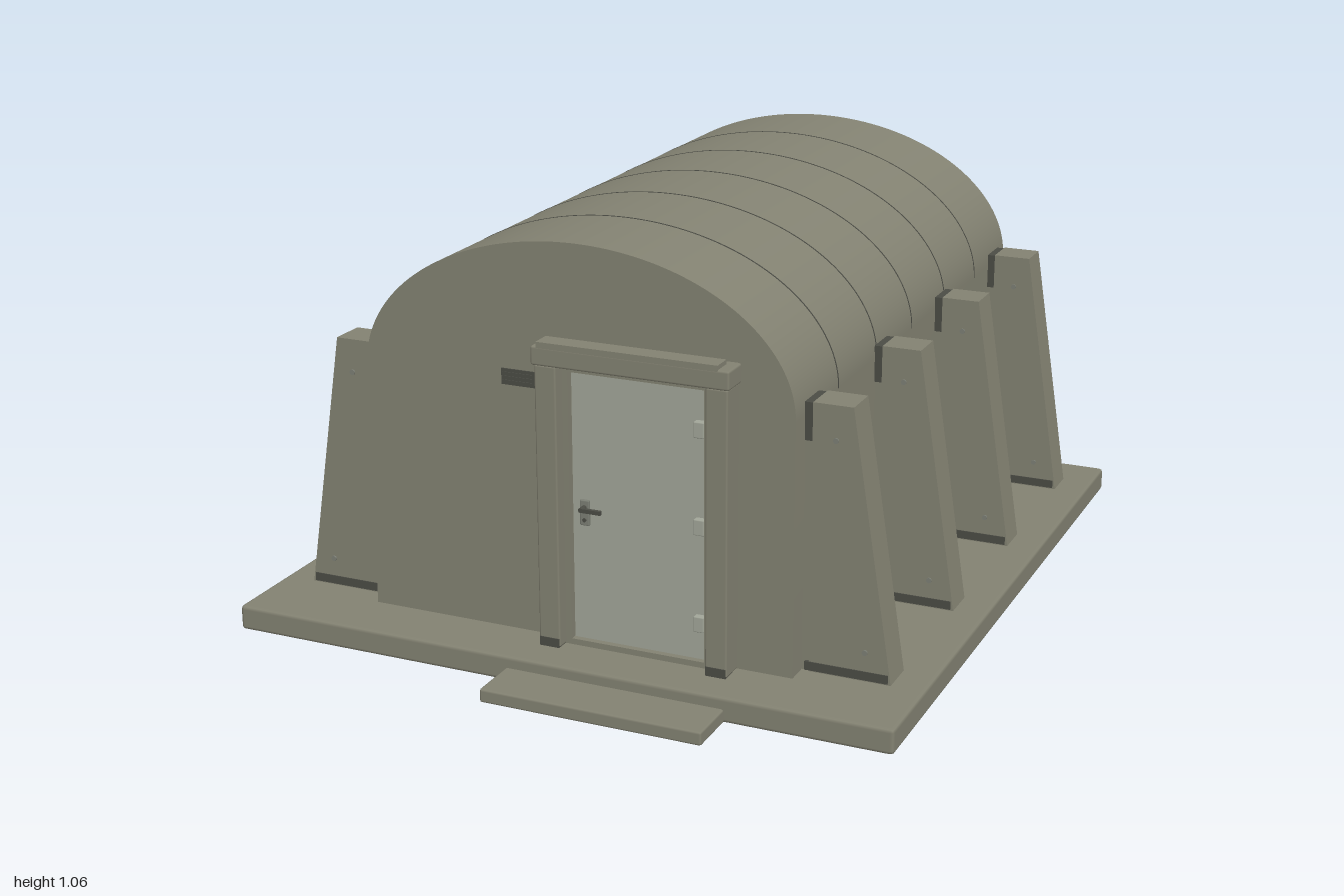
import * as THREE from 'three';
import { toCreasedNormals } from 'three/addons/utils/BufferGeometryUtils.js';
import { RoundedBoxGeometry } from 'three/addons/geometries/RoundedBoxGeometry.js';

const flat = (name, color) => Object.assign(new THREE.MeshStandardMaterial({ color }), { name });

export function createModel() {
  const concrete = flat('concrete', 0x838272);
  const paintedDoor = flat('paleDoor', 0xa2a699);
  const darkMetal = flat('darkMetal', 0x4b4c45);
  const hardware = flat('hardware', 0x7c7f75);
  const root = new THREE.Group();
  root.name = 'archedShelter';

  const add = (name, geo, mat, parent = root) => {
    const mesh = new THREE.Mesh(geo, mat);
    mesh.name = name;
    parent.add(mesh);
    return mesh;
  };
  // Box given by its limits; r chamfers the edges
  const box = (name, mat, x0, x1, y0, y1, z0, z1, parent = root, r = 0) => {
    const s = [x1 - x0, y1 - y0, z1 - z0];
    const geo = r ? new RoundedBoxGeometry(...s, 1, r) : new THREE.BoxGeometry(...s);
    const mesh = add(name, geo, mat, parent);
    mesh.position.set((x0 + x1) / 2, (y0 + y1) / 2, (z0 + z1) / 2);
    return mesh;
  };

  const ground = 0.065, back = -0.92, front = 0.71;
  const halfW = 0.563, spring = 0.70, rise = 0.36;

  // Slab and doorstep
  box('baseSlab', concrete, -0.87, 0.87, 0, ground, -1, 0.87, root, 0.01);
  box('doorStep', concrete, -0.115, 0.455, 0, 0.035, 0.85, 1, root, 0.006);

  // Vaulted hall
  const hall = new THREE.Shape();
  hall.moveTo(-halfW, ground - 0.01);
  hall.lineTo(halfW, ground - 0.01);
  hall.lineTo(halfW, spring);
  hall.absellipse(0, spring, halfW, rise, 0, Math.PI, false);
  hall.closePath();
  const hallGeo = new THREE.ExtrudeGeometry(hall, { depth: front - back, bevelEnabled: false, curveSegments: 48 });
  hallGeo.translate(0, 0, back);
  add('vaultedHall', toCreasedNormals(hallGeo, 0.5), concrete);

  // Fine roof joints
  const joint = new THREE.Shape();
  joint.absellipse(0, spring, halfW + 0.001, rise + 0.001, 0, Math.PI, false);
  joint.absellipse(0, spring, halfW - 0.004, rise - 0.004, Math.PI, 0, true);
  joint.closePath();
  for (let i = 0; i < 5; i++) {
    const geo = new THREE.ExtrudeGeometry(joint, { depth: 0.004, bevelEnabled: false, curveSegments: 48 });
    geo.translate(0, 0, 0.433 - i * 0.269);
    add('roofJoint', toCreasedNormals(geo, 0.5), darkMetal);
  }

  // Tapered buttresses, four on each side
  const profile = new THREE.Shape([
    [0.583, ground - 0.005], [0.788, ground - 0.005], [0.682, 0.735], [0.583, 0.735],
  ].map(([x, y]) => new THREE.Vector2(x, y)));
  const depth = 0.095;
  for (const side of [1, -1]) {
    for (let i = 0; i < 4; i++) {
      const g = new THREE.Group();
      g.name = 'buttress';
      g.position.z = 0.608 - i * 0.475;
      if (side < 0) { g.rotation.y = Math.PI; }
      root.add(g);
      const geo = new THREE.ExtrudeGeometry(profile, { depth, bevelEnabled: false });
      geo.translate(0, 0, -depth / 2);
      add('taperedBody', geo, concrete, g);
      box('wallWeb', concrete, 0.55, 0.59, ground, 0.73, -0.042, 0.042, g);
      box('topBracket', darkMetal, 0.562, 0.584, 0.64, 0.733, -0.045, 0.045, g);
      box('footPlate', darkMetal, 0.572, 0.78, 0.068, 0.09, -0.05, 0.05, g);
      for (const [x, y] of [[0.641, 0.65], [0.722, 0.138]]) {
        const bolt = add('bolt', new THREE.CylinderGeometry(0.007, 0.007, depth + 0.008, 10), hardware, g);
        bolt.rotation.x = Math.PI / 2;
        bolt.position.set(x, y, 0);
      }
    }
  }

  // Slatted vents
  const vent = (x0, x1, y0, y1, z) => {
    const g = new THREE.Group();
    g.name = 'vent';
    root.add(g);
    box('ventPlate', darkMetal, x0, x1, y0, y1, z - 0.003, z + 0.003, g);
    for (let i = 1; i < 4; i++) {
      const y = y0 + (y1 - y0) * i / 4;
      box('ventSlat', darkMetal, x0 + 0.004, x1 - 0.004, y - 0.002, y + 0.002, z - 0.005, z + 0.005, g);
    }
  };
  vent(-0.19, -0.1, 0.695, 0.735, front);
  for (const s of [-1, 1]) vent(s * 0.267 - 0.066, s * 0.267 + 0.066, 0.6, 0.64, back);

  // Door surround
  const frame = new THREE.Group();
  frame.name = 'doorSurround';
  root.add(frame);
  const mid = 0.176;
  for (const s of [-1, 1]) {
    const post = (name, mat, a, b, y0, y1, z1, r = 0) =>
      box(name, mat, mid + Math.min(s * a, s * b), mid + Math.max(s * a, s * b), y0, y1, 0.7, z1, frame, r);
    post('doorPost', concrete, 0.19, 0.246, ground, 0.777, 0.775, 0.005);
    post('postFoot', darkMetal, 0.192, 0.244, ground, 0.088, 0.777);
    post('doorJamb', concrete, 0.174, 0.191, ground, 0.775, 0.742);
  }
  box('doorHead', concrete, 0.002, 0.35, 0.758, 0.776, 0.7, 0.742, frame);
  box('threshold', concrete, 0.002, 0.35, ground, 0.08, 0.7, 0.742, frame);
  box('lintel', concrete, -0.076, 0.428, 0.776, 0.824, 0.7, 0.782, frame, 0.006);
  box('lintelCap', concrete, -0.06, 0.4, 0.82, 0.835, 0.73, 0.782, frame);

  // Door leaf, hinges and handle
  const door = new THREE.Group();
  door.name = 'door';
  root.add(door);
  box('doorLeaf', paintedDoor, 0.004, 0.348, 0.081, 0.757, 0.7, 0.728, door);
  for (const y of [0.66, 0.42, 0.175]) {
    box('hinge', paintedDoor, 0.323, 0.35, y - 0.02, y + 0.02, 0.725, 0.744, door, 0.003);
  }
  box('handlePlate', hardware, 0.024, 0.049, 0.375, 0.44, 0.725, 0.735, door, 0.003);
  const spindle = add('handleSpindle', new THREE.CylinderGeometry(0.006, 0.006, 0.026, 12), darkMetal, door);
  spindle.rotation.x = Math.PI / 2;
  spindle.position.set(0.037, 0.422, 0.745);
  box('handleLever', darkMetal, 0.034, 0.09, 0.417, 0.427, 0.75, 0.759, door);
  const lock = add('keyhole', new THREE.CylinderGeometry(0.005, 0.005, 0.008, 12), darkMetal, door);
  lock.rotation.x = Math.PI / 2;
  lock.position.set(0.037, 0.39, 0.734);

  return root;
}
